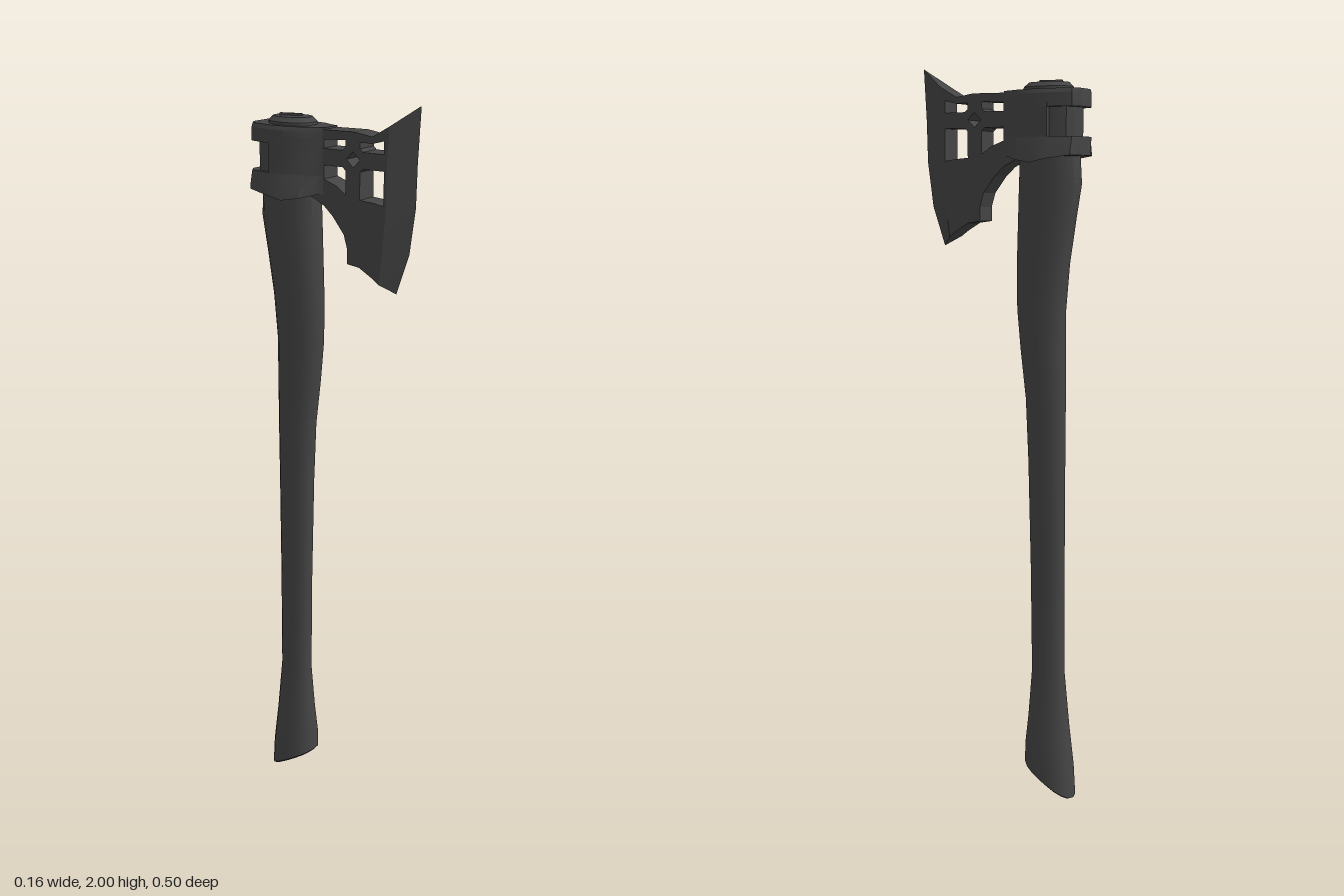
import * as THREE from 'three';
import { toCreasedNormals } from 'three/addons/utils/BufferGeometryUtils.js';

// Closed solid skinned over rings of [x, y, z] points, listed bottom to top
function loft(rings, crease) {
  const n = rings[0].length, pos = rings.flat(2), idx = [];
  for (let r = 0; r < rings.length - 1; r++) {
    for (let i = 0; i < n; i++) {
      const a = r * n + i, b = r * n + (i + 1) % n;
      idx.push(a, b, b + n, a, b + n, a + n);
    }
  }
  [0, rings.length - 1].forEach((r, top) => {
    const c = pos.length / 3;
    for (let k = 0; k < 3; k++) pos.push(rings[r].reduce((s, p) => s + p[k], 0) / n);
    for (let i = 0; i < n; i++) {
      const a = r * n + i, b = r * n + (i + 1) % n;
      idx.push(c, top ? a : b, top ? b : a);
    }
  });
  const g = new THREE.BufferGeometry();
  g.setAttribute('position', new THREE.Float32BufferAttribute(pos, 3));
  g.setIndex(idx);
  return toCreasedNormals(g, crease);
}

// Rounded oval ring between a front and a back z; tilt drops its back edge
function oval(y, front, back, halfX, tilt = 0) {
  const ring = [], mid = (front + back) / 2, half = (front - back) / 2;
  const soft = v => Math.sign(v) * Math.abs(v) ** 0.85;
  for (let i = 0; i < 16; i++) {
    const a = i / 16 * Math.PI * 2, c = soft(Math.cos(a));
    ring.push([halfX * soft(Math.sin(a)), y + tilt * c, mid + half * c]);
  }
  return ring;
}

// Mirrors a half outline of [x, z] points (front to back) into a full ring
function mirrored(half, y, grow = 0, wave = 0) {
  const ring = half.map(([x, z]) => [x, z]);
  half.slice().reverse().forEach(([x, z]) => ring.push([-x, z]));
  return ring.map(([x, z]) => [
    x + Math.sign(x) * grow * Math.min(1, Math.max(0, Math.abs(x) - 0.03) / 0.025),
    y - wave * Math.max(0, Math.cos((z + 0.12) * 22)), z]);
}

export function createModel() {
  const model = new THREE.Group();
  const charcoal = new THREE.MeshStandardMaterial({ color: 0x444444 });
  charcoal.name = 'charcoal';
  const add = (name, geometry, parent = model) => {
    const mesh = new THREE.Mesh(geometry, charcoal);
    mesh.name = name;
    parent.add(mesh);
    return mesh;
  };

  // Curved handle with a slanted, flared foot
  add('handle', loft([
    oval(0.043, -0.09, -0.222, 0.04, 0.04),
    oval(0.05, -0.08, -0.228, 0.047, 0.044),
    oval(0.12, -0.082, -0.222, 0.048, 0.03),
    oval(0.22, -0.09, -0.208, 0.039, 0.01),
    oval(0.36, -0.099, -0.194, 0.029),
    oval(0.65, -0.094, -0.192, 0.029),
    oval(0.95, -0.086, -0.191, 0.033),
    oval(1.12, -0.078, -0.191, 0.036),
    oval(1.25, -0.062, -0.19, 0.039),
    oval(1.36, -0.051, -0.19, 0.04),
    oval(1.48, -0.05, -0.2, 0.043),
    oval(1.6, -0.054, -0.218, 0.047),
    oval(1.69, -0.057, -0.233, 0.05),
    oval(1.77, -0.061, -0.227, 0.052),
  ], 0.6));

  const head = new THREE.Group();
  head.name = 'axeHead';
  model.add(head);

  // Collar: full front half, recessed waist and two rings round the back
  const outline = [[0.03, -0.02], [0.035, -0.037], [0.055, -0.075], [0.066, -0.125],
    [0.067, -0.168], [0.052, -0.235], [0.03, -0.249]];
  const front = [...outline.slice(0, 4), [0.067, -0.17]];
  const waist = [[0.03, -0.1], [0.054, -0.15], [0.054, -0.185], [0.045, -0.215], [0.025, -0.228]];
  add('collarFront', loft([mirrored(front, 1.79), mirrored(front, 1.905)], 0.3), head);
  add('collarWaist', loft([mirrored(waist, 1.79), mirrored(waist, 1.905)], 0.3), head);
  add('upperRing', loft([
    mirrored(outline, 1.885), mirrored(outline, 1.92),
    mirrored(outline.map(([x, z]) => [x * 0.94, z * 0.99]), 1.931),
  ], 0.3), head);
  add('lowerRing', loft([
    mirrored(outline, 1.762, 0.012, 0.018),
    mirrored(outline, 1.778, 0.009, 0.008),
    mirrored(outline, 1.81),
  ], 0.3), head);

  // Handle end showing through the top, with its wedge
  add('handleEnd', loft([
    oval(1.92, -0.07, -0.208, 0.05), oval(1.938, -0.072, -0.206, 0.049),
    oval(1.95, -0.085, -0.195, 0.038),
  ], 0.4));
  const wedge = add('wedge', new THREE.BoxGeometry(0.006, 0.012, 0.06));
  wedge.position.set(0.002, 1.95, -0.147);
  wedge.rotation.y = 0.3;

  // Blade plate drawn in [z, y], with four windows and a diamond hole
  const path = (pts, Type) => new Type(pts.map(p => new THREE.Vector2(...p)));
  const bevel = [[0.15, 1.55], [0.161, 1.64], [0.17, 1.75], [0.171, 1.85], [0.178, 1.949]];
  const plate = path([
    ...bevel, [0.127, 1.92], [0.074, 1.928], [-0.06, 1.926], [-0.06, 1.755],
    [-0.02, 1.735], [0.008, 1.71], [0.042, 1.667], [0.053, 1.63], [0.053, 1.592],
    [0.09, 1.587], [0.127, 1.566],
  ], THREE.Shape);
  const windows = [
    [[0.163, 1.912], [0.163, 1.88], [0.1, 1.88], [0.091, 1.888], [0.091, 1.904], [0.127, 1.903]],
    [[0.163, 1.838], [0.163, 1.752], [0.13, 1.757], [0.091, 1.76], [0.091, 1.83], [0.1, 1.838]],
    [[0.047, 1.906], [0.047, 1.888], [0.038, 1.88], [-0.026, 1.88], [-0.026, 1.902]],
    [[0.047, 1.83], [0.047, 1.769], [0.018, 1.789], [-0.026, 1.805], [-0.026, 1.838], [0.038, 1.838]],
    [[0.09, 1.859], [0.07, 1.839], [0.05, 1.859], [0.07, 1.879]],
  ];
  plate.holes = windows.map(w => path(w, THREE.Path));
  const thick = 0.031;
  const plateGeo = new THREE.ExtrudeGeometry(plate, { depth: thick * 2, bevelEnabled: false });
  plateGeo.translate(0, 0, -thick);
  plateGeo.rotateY(-Math.PI / 2);
  add('bladePlate', plateGeo, head);

  // Sharpened edge tapering from the plate to the cutting line
  const cut = [[0.185, 1.525], [0.222, 1.63], [0.239, 1.75], [0.242, 1.86], [0.25, 2]];
  add('cuttingEdge', loft(cut.map(([z, y], i) => {
    const [bz, by] = bevel[i];
    return [[0, y, z], [thick, by, bz], [-thick, by, bz]];
  }), 0.3), head);

  return model;
}
